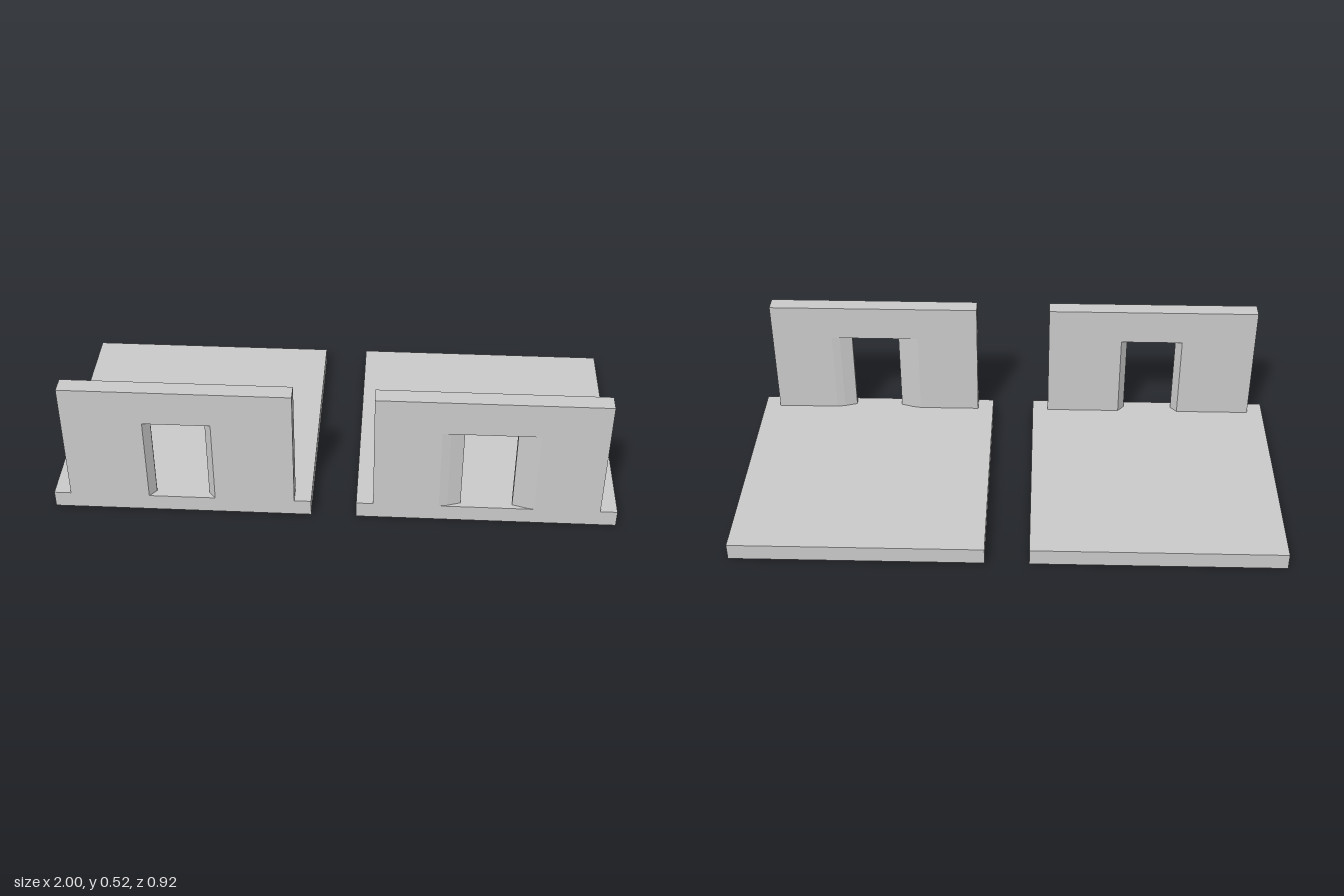
import * as THREE from 'three';

const BASE_W = 0.92, BASE_H = 0.062, DEPTH = 0.92;
const WALL_HALF = 0.4, WALL_T = 0.061, WALL_TOP = 0.524, DOOR_TOP = 0.39;
const WALL_Z = DEPTH / 2 - WALL_T / 2;

export function createModel() {
  const group = new THREE.Group();
  const material = new THREE.MeshStandardMaterial({ color: 0xcccccc, flatShading: true });

  function add(parent, name, geometry, x, y, z) {
    const mesh = new THREE.Mesh(geometry, material);
    mesh.name = name;
    mesh.position.set(x, y, z);
    parent.add(mesh);
  }

  // Wall pier drawn in plan; the jamb is [distance from door centre, half thickness]
  function pier(side, jamb) {
    const back = [...jamb].reverse().map(([x, t]) => [x, -t]);
    const outline = [[WALL_HALF, -WALL_T / 2], [WALL_HALF, WALL_T / 2], ...jamb, ...back];
    const shape = new THREE.Shape(outline.map(([x, t]) => new THREE.Vector2(side * x, t)));
    return new THREE.ExtrudeGeometry(shape, { depth: DOOR_TOP - BASE_H, bevelEnabled: false })
      .rotateX(-Math.PI / 2);
  }

  // Floor slab carrying a wall with a doorway
  function doorwayPanel(name, x, jamb) {
    const panel = new THREE.Group();
    panel.name = name;
    panel.position.x = x;
    add(panel, 'floorSlab', new THREE.BoxGeometry(BASE_W, BASE_H, DEPTH), 0, BASE_H / 2, 0);
    add(panel, 'leftPier', pier(1, jamb), 0, BASE_H, WALL_Z);
    add(panel, 'rightPier', pier(-1, jamb), 0, BASE_H, WALL_Z);
    add(panel, 'lintel', new THREE.BoxGeometry(WALL_HALF * 2, WALL_TOP - DOOR_TOP, WALL_T),
      0, (WALL_TOP + DOOR_TOP) / 2, WALL_Z);
    group.add(panel);
  }

  // Doorway with steep pointed jambs, and doorway with wide tapered jambs
  doorwayPanel('steepJambDoorway', -0.54, [[0.118, WALL_T / 2], [0.094, 0.002]]);
  doorwayPanel('taperedJambDoorway', 0.54, [[0.168, WALL_T / 2], [0.138, 0.025], [0.091, 0.01]]);

  return group;
}
